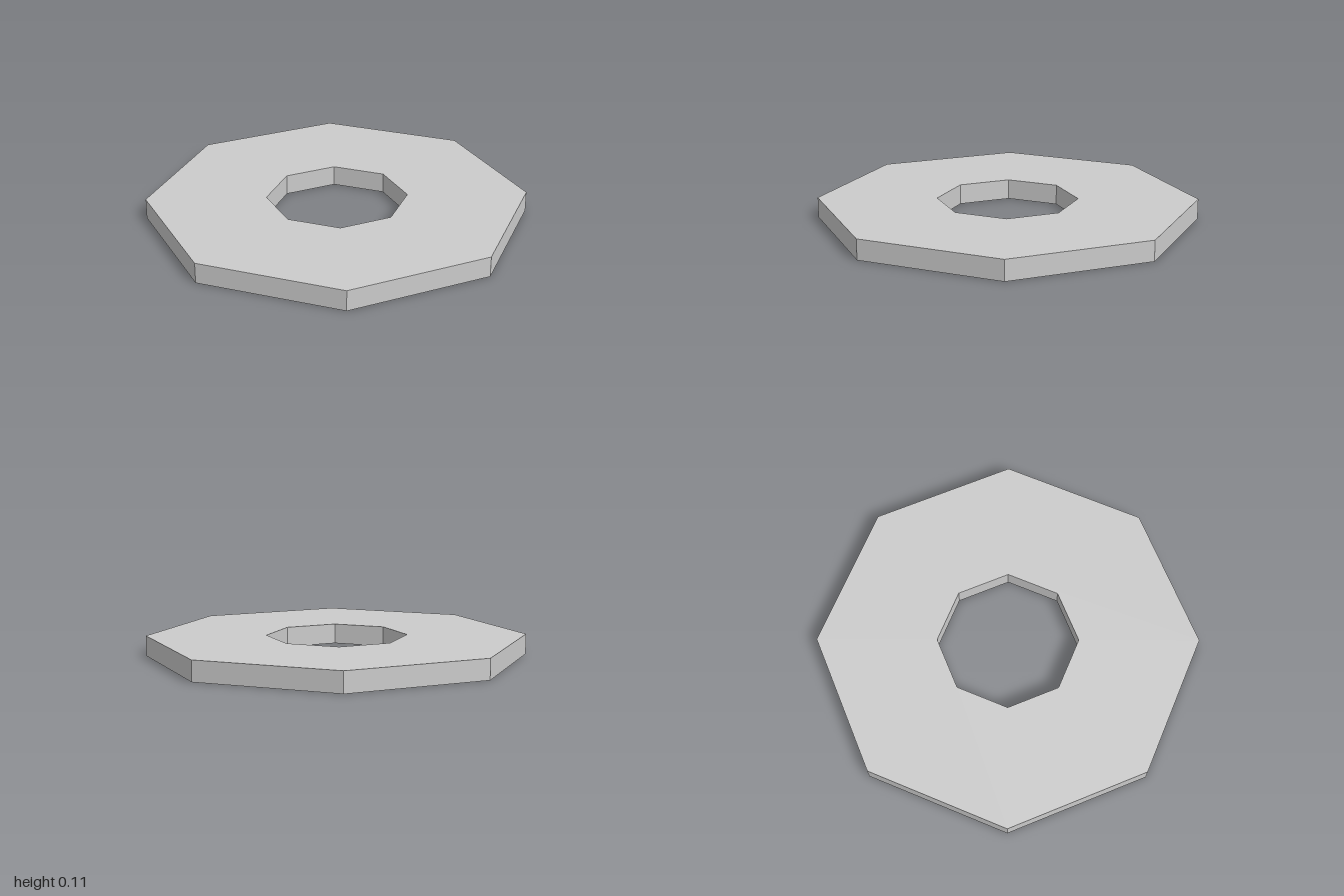
import * as THREE from 'three';

const SIDES = 8;
const OUTER_RADIUS = 1;
const INNER_RADIUS = 0.37;
const THICKNESS = 0.107;

// Corner points of a regular polygon with a corner on each axis
function polygon(radius) {
  return Array.from({ length: SIDES }, (_, i) => {
    const a = (i / SIDES) * Math.PI * 2;
    return new THREE.Vector2(radius * Math.cos(a), radius * Math.sin(a));
  });
}

export function createModel() {
  const group = new THREE.Group();
  group.name = 'octagonalWasher';

  // Flat octagonal ring with an octagonal hole
  const outline = new THREE.Shape(polygon(OUTER_RADIUS));
  outline.holes.push(new THREE.Path(polygon(INNER_RADIUS)));
  const geometry = new THREE.ExtrudeGeometry(outline, { depth: THICKNESS, bevelEnabled: false });
  geometry.rotateX(-Math.PI / 2); // lay flat on the ground

  const ring = new THREE.Mesh(
    geometry,
    new THREE.MeshStandardMaterial({ color: 0xcccccc, flatShading: true })
  );
  ring.name = 'ring';
  group.add(ring);
  return group;
}
